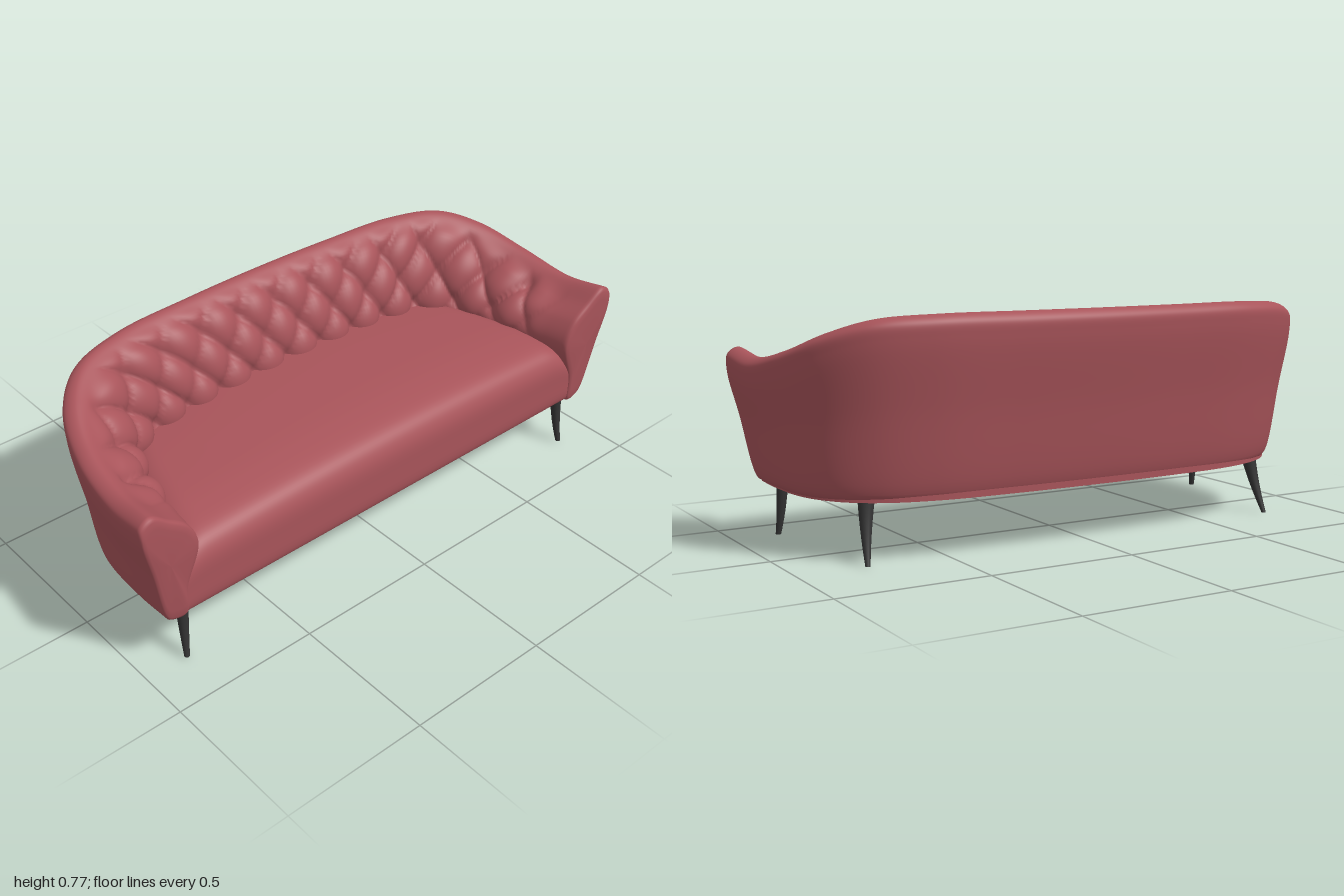
import * as THREE from 'three';

const { lerp, smoothstep } = THREE.MathUtils;
const fabric = new THREE.MeshStandardMaterial({ color: 0xa8545a });
fabric.name = 'rose fabric';
const legPaint = new THREE.MeshStandardMaterial({ color: 0x343434 });
legPaint.name = 'dark leg';

// Plan stations from the left arm front to the middle of the back:
// [outer bottom x, z, outer top x, z, inner seat line x, z, crest height]
const half = [
  [0.915, 0.335, 1.0, 0.36, 0.795, 0.35, 0.632],
  [0.92, 0.2, 0.99, 0.2, 0.77, 0.18, 0.612],
  [0.9, 0, 0.965, 0, 0.73, 0, 0.65],
  [0.83, -0.13, 0.9, -0.17, 0.68, -0.09, 0.71],
  [0.72, -0.21, 0.79, -0.28, 0.6, -0.15, 0.752],
  [0.55, -0.26, 0.6, -0.345, 0.45, -0.175, 0.765],
  [0.28, -0.28, 0.3, -0.37, 0.25, -0.185, 0.766],
  [0, -0.285, 0, -0.378, 0, -0.19, 0.766],
];
const mirrored = half.slice(0, -1).reverse().map(([a, b, c, d, e, f, y]) => [-a, b, -c, d, -e, f, y]);
const stations = [...half, ...mirrored];

// Cross-section of the shell: underside, outer wall, crest, inner wall
function section([bx, bz, tx, tz, ix, iz, Y]) {
  const wall = (f, y) => new THREE.Vector3(lerp(bx, tx, f), y, lerp(bz, tz, f));
  const over = (f, y) => new THREE.Vector3(lerp(tx, ix, f), y, lerp(tz, iz, f));
  const under = (f, y) => new THREE.Vector3(lerp(bx, ix, f), y, lerp(bz, iz, f));
  return [
    under(0.55, 0.195), under(0.1, 0.194), wall(0.06, 0.215), wall(0.57, lerp(0.2, Y, 0.48)),
    wall(0.98, Y - 0.075), over(0.02, Y - 0.022), over(0.2, Y), over(0.52, Y - 0.045),
    over(0.84, lerp(Y, 0.45, 0.55)), over(1, 0.45), under(0.62, 0.3),
  ];
}

// Triangles for a grid of rows; wrap closes each row on itself
function gridGeometry(rows, wrap) {
  const n = rows[0].length, index = [];
  for (let r = 0; r < rows.length - 1; r++) {
    for (let c = 0; c < (wrap ? n : n - 1); c++) {
      const a = r * n + c, b = r * n + (c + 1) % n;
      index.push(a, a + n, b, b, a + n, b + n);
    }
  }
  const geo = new THREE.BufferGeometry().setFromPoints(rows.flat());
  geo.setIndex(index);
  geo.computeVertexNormals();
  return geo;
}

// One continuous upholstered shell: arms and back, with a diamond-tufted inside
function shellGeometry() {
  const ALONG = 280, AROUND = 110;
  const sections = stations.map(section);
  const count = sections[0].length;
  const tracks = sections[0].map((_, k) => new THREE.CatmullRomCurve3(sections.map((s) => s[k])));
  const rows = [];
  for (let i = 0; i <= ALONG; i++) {
    const ring = new THREE.CatmullRomCurve3(tracks.map((t) => t.getPoint(i / ALONG)), true);
    rows.push(Array.from({ length: AROUND }, (_, j) => ring.getPoint(j / AROUND)));
  }

  // Distance along the inner wall, measured from the middle of the back
  const jInner = Math.round((AROUND * 8) / count);
  const dist = [0];
  for (let i = 1; i <= ALONG; i++) dist.push(dist[i - 1] + rows[i][jInner].distanceTo(rows[i - 1][jInner]));
  const middle = dist[ALONG] / 2;

  // Push pillows out between the buttons
  const normals = gridGeometry(rows, true).attributes.normal;
  const n = new THREE.Vector3();
  rows.forEach((row, i) => row.forEach((p, j) => {
    const k = (j / AROUND) * count;
    const end = Math.min(dist[i], dist[ALONG] - dist[i]);
    const mask = smoothstep(k, 6.4, 7.2) * (1 - smoothstep(k, 9, 9.6)) * smoothstep(end, 0.08, 0.25);
    if (mask === 0) return;
    const s = (dist[i] - middle) / 0.15, v = (p.y - 0.68) / 0.2;
    const a = Math.sin(Math.PI * (s + v)), b = Math.sin(Math.PI * (s - v));
    const button = Math.exp(-(a * a + b * b) * 3);
    const puff = 0.028 * Math.sqrt(Math.abs(a * b)) - 0.012 - 0.014 * button;
    p.addScaledVector(n.fromBufferAttribute(normals, i * AROUND + j), puff * mask);
  }));

  // Softly rounded arm fronts
  const cap = (row) => {
    const centre = row.reduce((sum, p) => sum.add(p), new THREE.Vector3()).divideScalar(AROUND);
    return [[0.975, 0.007], [0.93, 0.012], [0.8, 0.015], [0.4, 0.017], [0, 0.017]].map(([scale, push]) =>
      row.map((p) => {
        const q = centre.clone().lerp(p, scale);
        q.z += push;
        return q;
      }));
  };
  return gridGeometry([...cap(rows[0]).reverse(), ...rows, ...cap(rows[ALONG])], true);
}

// Seat: a rounded front profile swept across, narrowing to the back
function seatGeometry() {
  const profile = new THREE.CatmullRomCurve3([
    [0.31, 0.193], [0.343, 0.2], [0.352, 0.3], [0.345, 0.39], [0.31, 0.44],
    [0.2, 0.468], [0, 0.478], [-0.22, 0.478],
  ].map(([z, y]) => new THREE.Vector3(0, y, z)));
  const rows = [];
  for (let i = 0; i <= 48; i++) {
    const p = profile.getPoint(i / 48);
    const width = 0.62 + 0.228 * Math.sqrt(Math.max(0, (p.z + 0.22) / 0.572));
    const row = [];
    for (let j = 0; j <= 60; j++) {
      const t = Math.sin(((j / 60) - 0.5) * Math.PI);
      const edge = Math.max(0, (Math.abs(t) - 0.88) / 0.12);
      const drop = 0.025 * t * t + 0.06 * (1 - Math.sqrt(Math.max(0, 1 - edge * edge)));
      const lift = Math.max(0, (p.y - 0.2) / 0.28);
      row.push(new THREE.Vector3(width * t, p.y - drop * lift, p.z));
    }
    rows.push(row);
  }
  // Rows run upward while columns run to +x, so reverse columns for outward faces
  return gridGeometry(rows.map((r) => r.reverse()), false);
}

// Flat underside following the lower outline
function baseGeometry() {
  const outline = new THREE.CatmullRomCurve3(stations.map(([x, z]) => new THREE.Vector3(x * 0.985, 0, z - 0.004)));
  const shape = new THREE.Shape(outline.getPoints(100).map((p) => new THREE.Vector2(p.x, -p.z)));
  const geo = new THREE.ExtrudeGeometry(shape, { depth: 0.025, bevelEnabled: false });
  return geo.rotateX(-Math.PI / 2).translate(0, 0.19, 0);
}

// Tapered leg bent along a curve from top to foot
function legGeometry(top, bend, foot, r0, r1) {
  const curve = new THREE.QuadraticBezierCurve3(...[top, bend, foot].map((p) => new THREE.Vector3(...p)));
  const geo = new THREE.CylinderGeometry(1, 1, 1, 16, 10);
  const pos = geo.attributes.position;
  for (let i = 0; i < pos.count; i++) {
    const t = 0.5 - pos.getY(i), c = curve.getPoint(t), r = lerp(r0, r1, t);
    pos.setXYZ(i, c.x + pos.getX(i) * r, c.y, c.z + pos.getZ(i) * r);
  }
  geo.computeVertexNormals();
  return geo;
}

export function createModel() {
  const group = new THREE.Group();
  group.name = 'sofa';
  const add = (name, geo, material) => {
    const mesh = new THREE.Mesh(geo, material);
    mesh.name = name;
    group.add(mesh);
  };
  add('tuftedShell', shellGeometry(), fabric);
  add('seat', seatGeometry(), fabric);
  add('base', baseGeometry(), fabric);
  for (const [side, s] of [['left', 1], ['right', -1]]) {
    add(side + 'FrontLeg', legGeometry([s * 0.84, 0.2, 0.306], [s * 0.842, 0.09, 0.312], [s * 0.85, 0.005, 0.33], 0.021, 0.009), legPaint);
    add(side + 'BackLeg', legGeometry([s * 0.742, 0.2, -0.147], [s * 0.755, 0.1, -0.165], [s * 0.768, 0, -0.21], 0.027, 0.008), legPaint);
  }
  return group;
}
